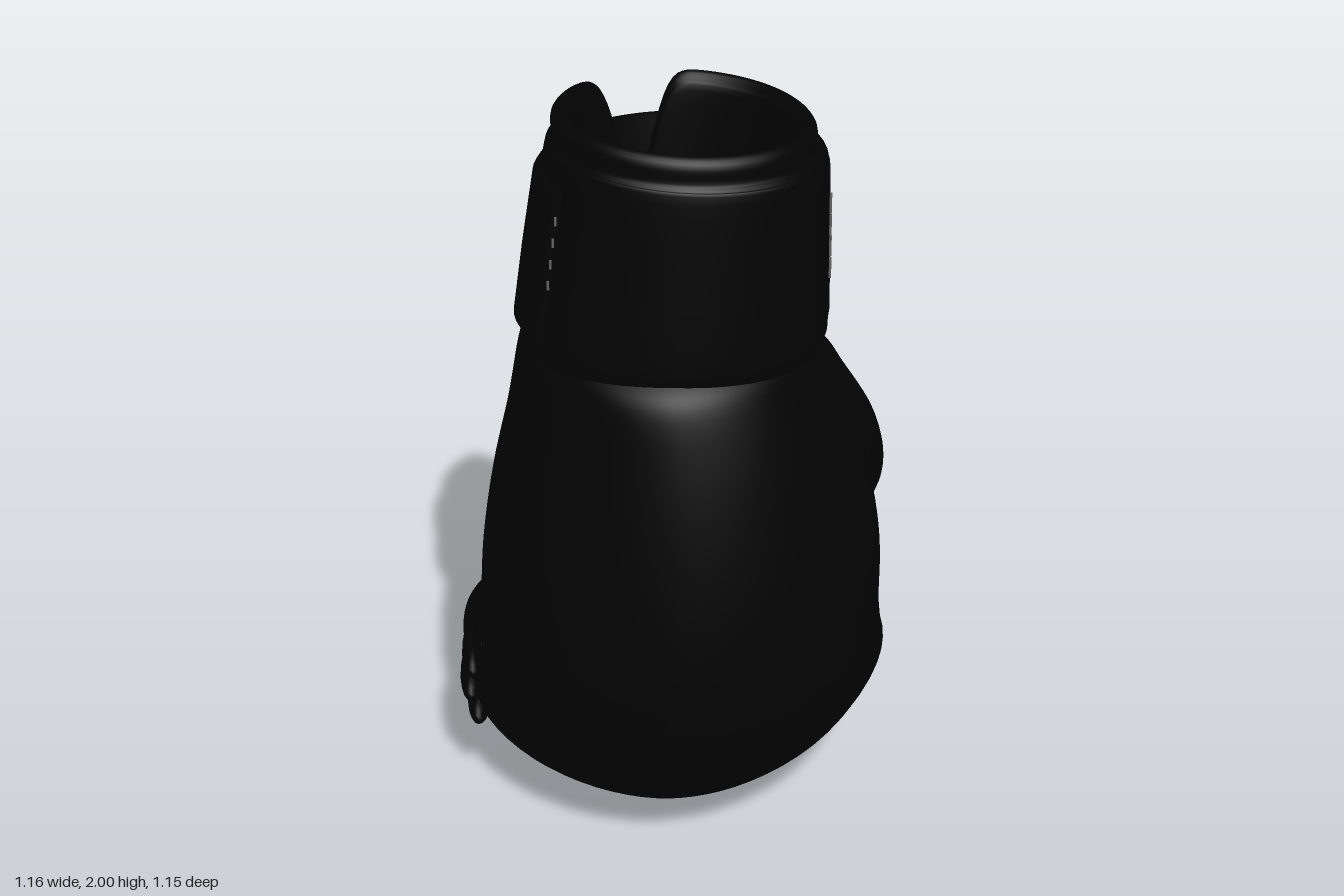
import * as THREE from 'three';

const black = new THREE.MeshStandardMaterial({ color: 0x020202 });
black.name = 'black leather';
const grey = new THREE.MeshStandardMaterial({ color: 0x606060, side: THREE.DoubleSide });
grey.name = 'grey lining';

// Smooth skin over closed rings of equal point count, with optional end caps
function skin(rings, capStart = true, capEnd = true) {
  const n = rings[0].length, pos = [], idx = [];
  for (const ring of rings) for (const p of ring) pos.push(p.x, p.y, p.z);
  for (let j = 0; j < rings.length - 1; j++) {
    for (let i = 0; i < n; i++) {
      const k = (i + 1) % n, a = j * n + i, b = j * n + k;
      idx.push(a, b, a + n, b, b + n, a + n);
    }
  }
  const cap = (j, flip) => {
    const c = new THREE.Vector3();
    rings[j].forEach((p) => c.addScaledVector(p, 1 / n));
    const id = pos.length / 3;
    pos.push(c.x, c.y, c.z);
    for (let i = 0; i < n; i++) {
      const a = j * n + i, b = j * n + (i + 1) % n;
      idx.push(id, flip ? a : b, flip ? b : a);
    }
  };
  if (capStart) cap(0, false);
  if (capEnd) cap(rings.length - 1, true);
  const g = new THREE.BufferGeometry();
  g.setAttribute('position', new THREE.Float32BufferAttribute(pos, 3));
  g.setIndex(idx);
  g.computeVertexNormals();
  return g;
}

// Catmull-Rom refinement of a table of sections
function refine(rows, steps) {
  const out = [], at = (i) => rows[Math.max(0, Math.min(rows.length - 1, i))];
  for (let i = 0; i < rows.length - 1; i++) {
    for (let s = 0; s < steps; s++) {
      const t = s / steps;
      out.push(at(i).map((b, c) => {
        const a = at(i - 1)[c], d = at(i + 1)[c], e = at(i + 2)[c];
        return b + 0.5 * t * (d - a + t * (2 * a - 5 * b + 4 * d - e + t * (3 * (b - d) + e - a)));
      }));
    }
  }
  out.push(rows[rows.length - 1]);
  return out;
}

// Horizontal outline from a section [y, xMin, xMax, zFront, zBack]
const spow = (v, e) => Math.sign(v) * Math.abs(v) ** e;
function outline([y, x0, x1, zf, zb], { k = 0.5, front = 2, back = 2, skew = 0, n = 72 } = {}) {
  const cz = zb + (zf - zb) * k, ring = [];
  for (let i = 0; i < n; i++) {
    const a = (i / n) * Math.PI * 2, s = Math.sin(a), e = 2 / (s < 0 ? back : front);
    const x = (x0 + x1) / 2 + (x1 - x0) / 2 * spow(Math.cos(a), e);
    let z = cz + (s > 0 ? zf - cz : cz - zb) * spow(s, e);
    if (s < 0) z += skew * x * s;
    ring.push(new THREE.Vector3(x, y, z));
  }
  return ring;
}

// Hand outline: the palm between fingers and wrist is flatter and slanted
const { smoothstep } = THREE.MathUtils;
function handOutline(row) {
  const palm = smoothstep(row[0], 0.4, 0.6) * (1 - smoothstep(row[0], 1.05, 1.38));
  return outline(row, { k: 0.38, front: 1.86, back: 1.95 + 0.6 * palm, skew: 0.06 + 0.14 * palm });
}

// Padded roll along a curve, with rounded ends and slight finger creases
function roll(points, ry, rz, creases = 0) {
  const curve = new THREE.CatmullRomCurve3(points.map((p) => new THREE.Vector3(...p)));
  const up = new THREE.Vector3(0, 1, 0), rings = [], m = 60;
  for (let j = 0; j <= m; j++) {
    const t = 0.5 - 0.5 * Math.cos((Math.PI * j) / m);
    const c = curve.getPoint(t), side = curve.getTangent(t).cross(up).normalize();
    const s = Math.max(0.01, Math.sqrt(1 - Math.abs(2 * t - 1) ** 5))
      * (1 + creases * Math.cos(t * Math.PI * 10));
    const ring = [];
    for (let i = 0; i < 36; i++) {
      const a = (i / 36) * Math.PI * 2;
      ring.push(c.clone().addScaledVector(up, ry * s * Math.cos(a)).addScaledVector(side, rz * s * Math.sin(a)));
    }
    rings.push(ring);
  }
  return skin(rings);
}

// Point on the cuff at a height and angle, lifted off its surface
function cuffPoint(y, a, lift) {
  const t = (1.9 - y) / 0.45;
  return new THREE.Vector3(
    0.035 - 0.028 * t + (0.347 + 0.035 * t + lift) * Math.cos(a), y,
    0.068 + 0.02 * t + (0.308 + 0.014 * t + lift) * Math.sin(a));
}

export function createModel() {
  const glove = new THREE.Group();
  glove.name = 'boxingGlove';
  const add = (name, geometry, material = black) => {
    const mesh = new THREE.Mesh(geometry, material);
    mesh.name = name;
    glove.add(mesh);
    return mesh;
  };

  // Hand
  const hand = [
    [1.42, -0.37, 0.36, 0.39, -0.21], [1.36, -0.39, 0.385, 0.445, -0.22],
    [1.2, -0.42, 0.45, 0.49, -0.205], [1.0, -0.465, 0.51, 0.53, -0.21],
    [0.8, -0.495, 0.545, 0.56, -0.22], [0.62, -0.508, 0.55, 0.575, -0.24],
    [0.52, -0.515, 0.56, 0.567, -0.28], [0.42, -0.555, 0.575, 0.545, -0.37],
    [0.3, -0.57, 0.55, 0.49, -0.46], [0.2, -0.53, 0.49, 0.42, -0.45],
    [0.1, -0.39, 0.375, 0.29, -0.365], [0.035, -0.19, 0.235, 0.12, -0.27],
    [0.006, -0.03, 0.12, -0.02, -0.17], [0, 0.03, 0.07, -0.08, -0.12],
  ];
  add('handBody', skin(refine(hand, 6).map(handOutline), false));

  // Thumb
  const thumb = [
    [1.37, 0.28, 0.32, 0.04, -0.06], [1.3, 0.22, 0.4, 0.07, -0.16],
    [1.2, 0.22, 0.455, 0.08, -0.245], [1.0, 0.2, 0.55, 0.06, -0.405],
    [0.8, 0.165, 0.577, -0.02, -0.53], [0.62, 0.145, 0.5, -0.12, -0.575],
    [0.5, 0.165, 0.44, -0.19, -0.555], [0.43, 0.22, 0.38, -0.28, -0.51],
    [0.4, 0.285, 0.315, -0.38, -0.41],
  ];
  add('thumb', skin(refine(thumb, 6).map((r) => outline(r))));

  // Folded fingers and the grip bar above them
  add('fingers', roll([[-0.57, 0.34, -0.12], [-0.35, 0.335, -0.185], [-0.05, 0.325, -0.285],
    [0.16, 0.325, -0.295], [0.39, 0.335, -0.22]], 0.205, 0.212, 0.01));
  add('gripBar', roll([[-0.47, 0.6, -0.08], [-0.2, 0.61, -0.17], [0.05, 0.61, -0.23], [0.26, 0.61, -0.26]], 0.11, 0.07));

  // Creases on the little finger side
  for (let i = 0; i < 4; i++) {
    const bump = add('fingerCrease', new THREE.SphereGeometry(1, 20, 14));
    bump.scale.set(0.035, 0.05, 0.14);
    bump.position.set([-0.5, -0.535, -0.542, -0.525][i], 0.48 - i * 0.075, 0.01);
  }

  // Hollow cuff: cavity floor, inner wall, rim, outer wall
  const cuff = [
    [0.95, -0.13, 0.12, 0.2, -0.07], [1.2, -0.2, 0.19, 0.25, -0.12],
    [1.5, -0.24, 0.25, 0.28, -0.16], [1.9, -0.24, 0.29, 0.29, -0.185],
    [1.965, -0.25, 0.31, 0.31, -0.2], [1.985, -0.27, 0.33, 0.33, -0.22],
    [1.965, -0.293, 0.352, 0.352, -0.242], [1.925, -0.295, 0.355, 0.356, -0.242],
    [1.91, -0.3, 0.37, 0.366, -0.24], [1.88, -0.313, 0.383, 0.377, -0.24],
    [1.66, -0.345, 0.387, 0.395, -0.237], [1.46, -0.375, 0.39, 0.41, -0.235],
    [1.415, -0.373, 0.385, 0.405, -0.23], [1.38, -0.355, 0.36, 0.385, -0.2],
  ];
  const cuffRings = refine(cuff, 4).map((r) => outline(r, { n: 160 }));
  for (const p of cuffRings.flat()) {
    const h = smoothstep(p.y, 1.5, 1.95);
    p.y -= h * 0.06 * p.x;
    // Split at the back of the rim
    if (p.z < 0) p.y -= h * 0.3 * Math.exp(-(((p.x + 0.09) / 0.06) ** 2));
  }
  add('cuff', skin(cuffRings, true, false));

  // Wrist strap wrapped round the back
  const strapStart = Math.PI * 0.815, strapEnd = Math.PI * 2.01, strapRings = [];
  const strapProfile = [[1.45, -0.02], [1.45, 0.01], [1.47, 0.024], [1.65, 0.024],
    [1.84, 0.02], [1.86, 0.01], [1.86, -0.02], [1.65, -0.02]];
  for (let j = 0; j <= 72; j++) {
    const t = j / 72, a = strapStart + t * (strapEnd - strapStart);
    strapRings.push(strapProfile.map(([y, lift]) => cuffPoint(y, a, lift * (1 - 0.8 * t ** 3))));
  }
  add('wristStrap', skin(strapRings));

  // Lacing on the palm
  const laceX = -0.14;
  const tube = (name, pts, r) => add(name, new THREE.TubeGeometry(
    new THREE.CatmullRomCurve3(pts.map(([x, y, z]) => new THREE.Vector3(laceX + x, y, z - 0.2 * x))), 20, r, 8));
  for (const s of [-1, 1]) {
    tube('laceEdge', [[s * 0.1, 1.42, -0.19], [s * 0.085, 1.15, -0.178], [s * 0.045, 0.87, -0.185]], 0.02);
    for (let i = 0; i < 3; i++) {
      const y = 1.34 - i * 0.14, w = 0.1 - i * 0.012;
      tube('lace', [[-s * w, y, -0.19], [0, y - 0.04, -0.212], [s * w, y - 0.08, -0.19]], 0.017);
    }
  }
  const loop = add('laceLoop', new THREE.TorusGeometry(0.035, 0.014, 8, 20));
  loop.scale.y = 1.5;
  loop.position.set(laceX, 0.88, -0.195);

  // Pale lining inside the cavity
  const patch = new THREE.Shape([[-0.13, 0], [-0.03, 0.07], [0.01, -0.21], [-0.05, -0.21]]
    .map((p) => new THREE.Vector2(...p)));
  const lining = add('innerLining', new THREE.ShapeGeometry(patch), grey);
  lining.rotation.x = -Math.PI / 2;
  lining.position.y = 1.22;

  // Pale slits along both strap ends
  const slit = (a, y, length, lift) => {
    const mesh = add('strapSlit', new THREE.BoxGeometry(0.006, length, 0.006), grey);
    mesh.position.copy(cuffPoint(y, a, lift));
  };
  for (let i = 0; i < 4; i++) slit(strapEnd, 1.58 + i * 0.057, 0.055, 0.005);
  for (let i = 0; i < 4; i++) slit(strapStart - 0.015, 1.62 + i * 0.055, 0.022, 0.018);

  return glove;
}
